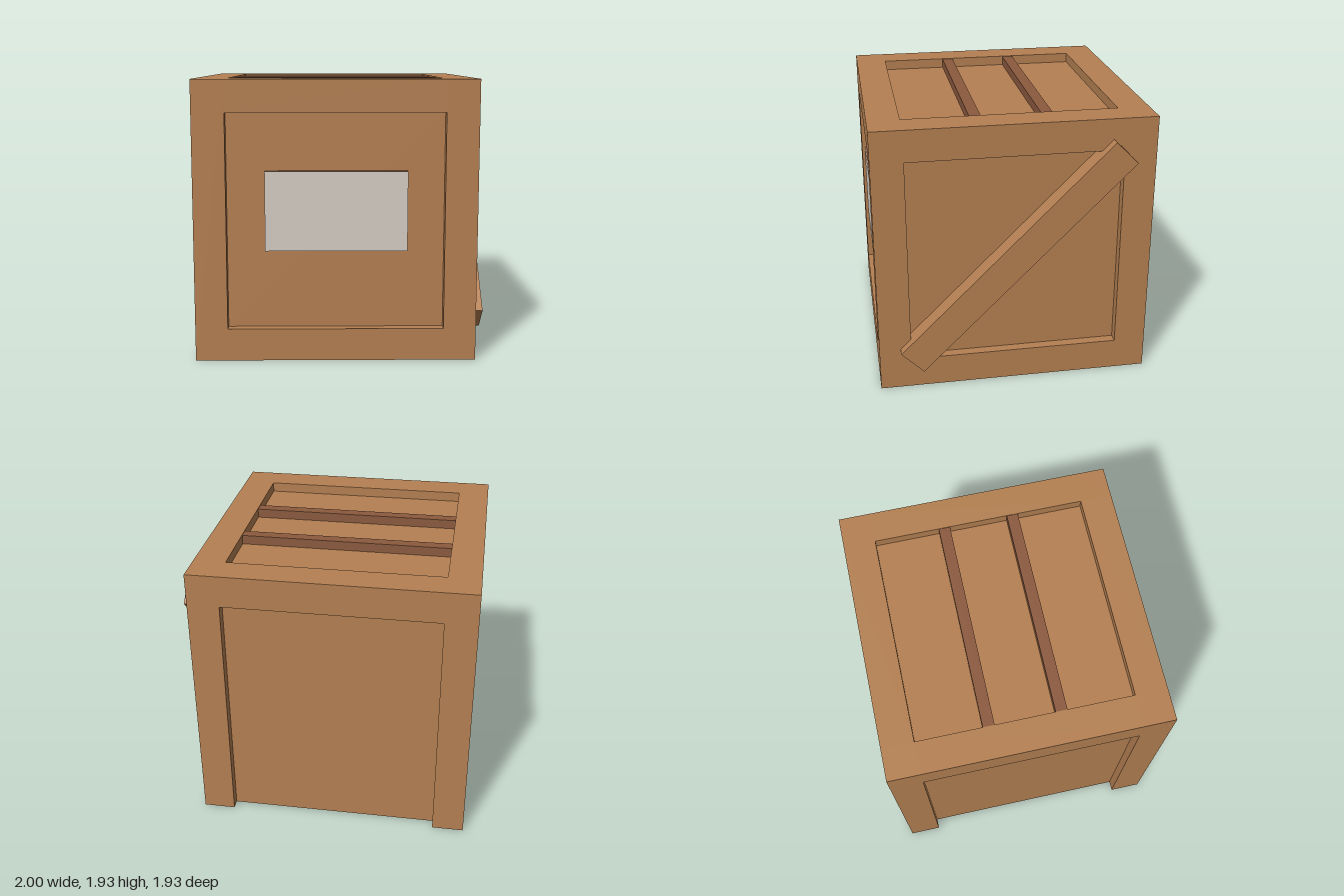
import * as THREE from 'three';

const wood = new THREE.MeshStandardMaterial({ color: 0xb58052 });
wood.name = 'wood';
const darkWood = new THREE.MeshStandardMaterial({ color: 0x8c5a3e });
darkWood.name = 'darkWood';
const paleGrey = new THREE.MeshStandardMaterial({ color: 0xd6cec6 });
paleGrey.name = 'paleGrey';

const S = 1.93;        // side of the crate
const H = S / 2;
const B = 0.223;       // square beam section
const R = 0.07;        // recess of the panels
const T = 0.01;        // panel thickness
const INNER = S - 2 * B;

export function createModel() {
  const model = new THREE.Group();
  model.name = 'crate';
  const crate = new THREE.Group();
  crate.name = 'crateBody';
  crate.position.x = -0.035;
  model.add(crate);

  const box = (name, size, pos, material = wood) => {
    const mesh = new THREE.Mesh(new THREE.BoxGeometry(...size), material);
    mesh.name = name;
    mesh.position.set(...pos);
    crate.add(mesh);
    return mesh;
  };

  // Corner posts and top beams
  const c = H - B / 2;
  for (const s of [-1, 1]) {
    for (const t of [-1, 1]) box('cornerPost', [B, S, B], [s * c, H, t * c]);
    box('topBeam', [INNER, B, B], [0, S - B / 2, s * c]);
    box('topSideBeam', [B, B, INNER], [s * c, S - B / 2, 0]);
  }

  // Bottom beams, only on the front and the left side
  box('frontBottomBeam', [INNER, B, B], [0, B / 2, c]);
  box('leftBottomBeam', [B, B, INNER], [c, B / 2, 0]);

  // Recessed panels; the underside is open
  const p = H - R - T / 2;
  const wallHeight = S - B;
  for (const s of [-1, 1]) {
    const low = s > 0 ? B : 0;
    const h = wallHeight - low;
    box(s > 0 ? 'frontPanel' : 'backPanel', [INNER, h, T], [0, low + h / 2, s * p]);
    box(s > 0 ? 'leftPanel' : 'rightPanel', [T, h, INNER], [s * p, low + h / 2, 0]);
  }
  box('topPanel', [INNER, T, INNER], [0, S - R - T / 2, 0]);

  // Dark slats lying in the lid recess
  for (const z of [-0.248, 0.242]) {
    box('lidSlat', [INNER, R - 0.005, 0.08], [0, S - R / 2 - 0.0025, z], darkWood);
  }

  // Diagonal brace across the left side
  const brace = box('diagonalBrace', [2 * R, 0.22, 2.09], [H, 0.97, 0]);
  brace.rotation.x = Math.PI / 4;

  // Sign board with a pale face
  box('signBoard', [0.97, 0.545, 0.05], [0.005, 1.038, H - R + 0.025], darkWood);
  box('signFace', [0.97, 0.545, 0.005], [0.005, 1.038, H - R + 0.0525], paleGrey);

  return model;
}
